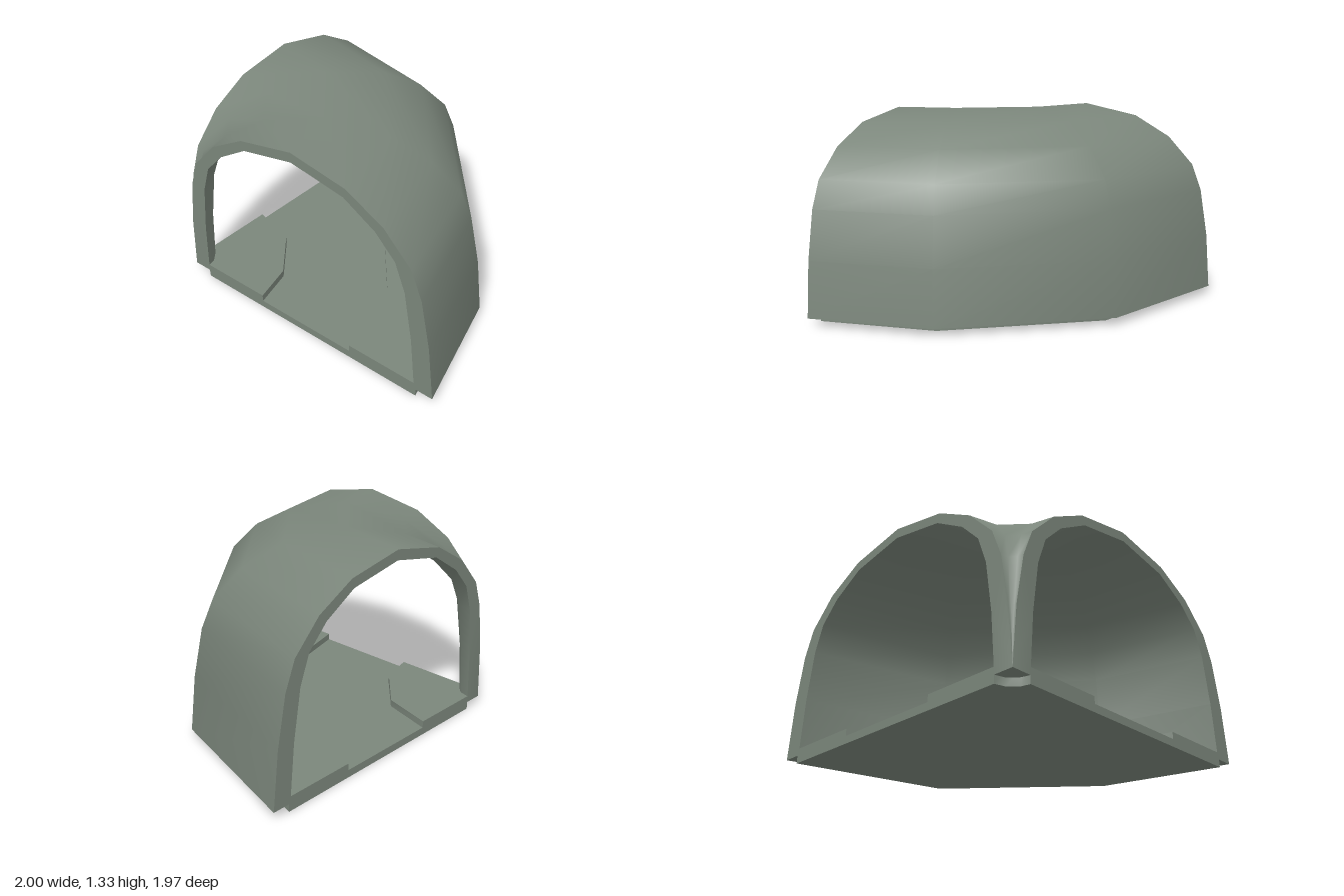
import * as THREE from 'three';
import { toCreasedNormals } from 'three/addons/utils/BufferGeometryUtils.js';

// The corner turns about a vertical axis at (-1, 0.98) in three straight runs.
const PIVOT = { x: -1, z: 0.98 };
const STOPS = [[0, 1], [24.5, 0.98], [59, 0.99], [90, 0.985]]; // angle, radius factor

// Sweeps a closed counter-clockwise section [offset, height] round the corner and caps both ends.
function sweep(section, crease) {
  const n = section.length;
  const pos = [];
  const index = [];
  for (const [deg, f] of STOPS) {
    const a = THREE.MathUtils.degToRad(deg);
    for (const [u, y] of section) {
      const r = (1 + u) * f;
      pos.push(PIVOT.x + r * Math.cos(a), y, PIVOT.z - r * Math.sin(a));
    }
  }
  const last = (STOPS.length - 1) * n;
  for (let i = 0; i < last; i += n) {
    for (let k = 0; k < n; k++) {
      const m = (k + 1) % n;
      const a = i + k, b = i + m, c = i + n + m, d = i + n + k;
      // skip the collapsed half of a quad where the section touches the axis
      if (section[m][0] > -1) index.push(a, c, b);
      if (section[k][0] > -1) index.push(a, d, c);
    }
  }
  const outline = section.map(([u, y]) => new THREE.Vector2(u, y));
  for (const [a, b, c] of THREE.ShapeUtils.triangulateShape(outline, [])) {
    index.push(a, b, c, last + c, last + b, last + a);
  }
  const geo = new THREE.BufferGeometry();
  geo.setAttribute('position', new THREE.Float32BufferAttribute(pos, 3));
  geo.setIndex(index);
  return toCreasedNormals(geo, crease);
}

// Full arch from its right half, running from right foot over the crown to left foot.
function arch(half) {
  const left = half.slice(0, -1).reverse().map(([u, y]) => [-u, y]);
  return [...half, ...left];
}

export function createModel() {
  const group = new THREE.Group();
  group.name = 'cornerTunnel';
  const stone = new THREE.MeshStandardMaterial({ color: 0x7b867b });
  stone.name = 'grey green';

  const add = (name, geo) => {
    const mesh = new THREE.Mesh(geo, stone);
    mesh.name = name;
    group.add(mesh);
  };

  // Arched shell: outer skin, then the inner skin back the other way
  const outer = arch([[1, 0.05], [0.97, 0.42], [0.915, 0.74], [0.845, 0.92],
    [0.66, 1.11], [0.4, 1.25], [0, 1.325]]);
  const inner = arch([[0.87, 0.05], [0.845, 0.42], [0.8, 0.74], [0.735, 0.92],
    [0.6, 1.06], [0.38, 1.19], [0, 1.26]]);
  add('archShell', sweep([...outer, ...inner.reverse()], 0.9));

  // Floor slab with raised ledges either side of a sunken path
  add('floor', sweep([[-0.87, 0], [0.88, 0], [0.88, 0.095], [0.375, 0.095],
    [0.375, 0.05], [-0.36, 0.05], [-0.36, 0.095], [-0.87, 0.095]], 0.9));

  return group;
}
